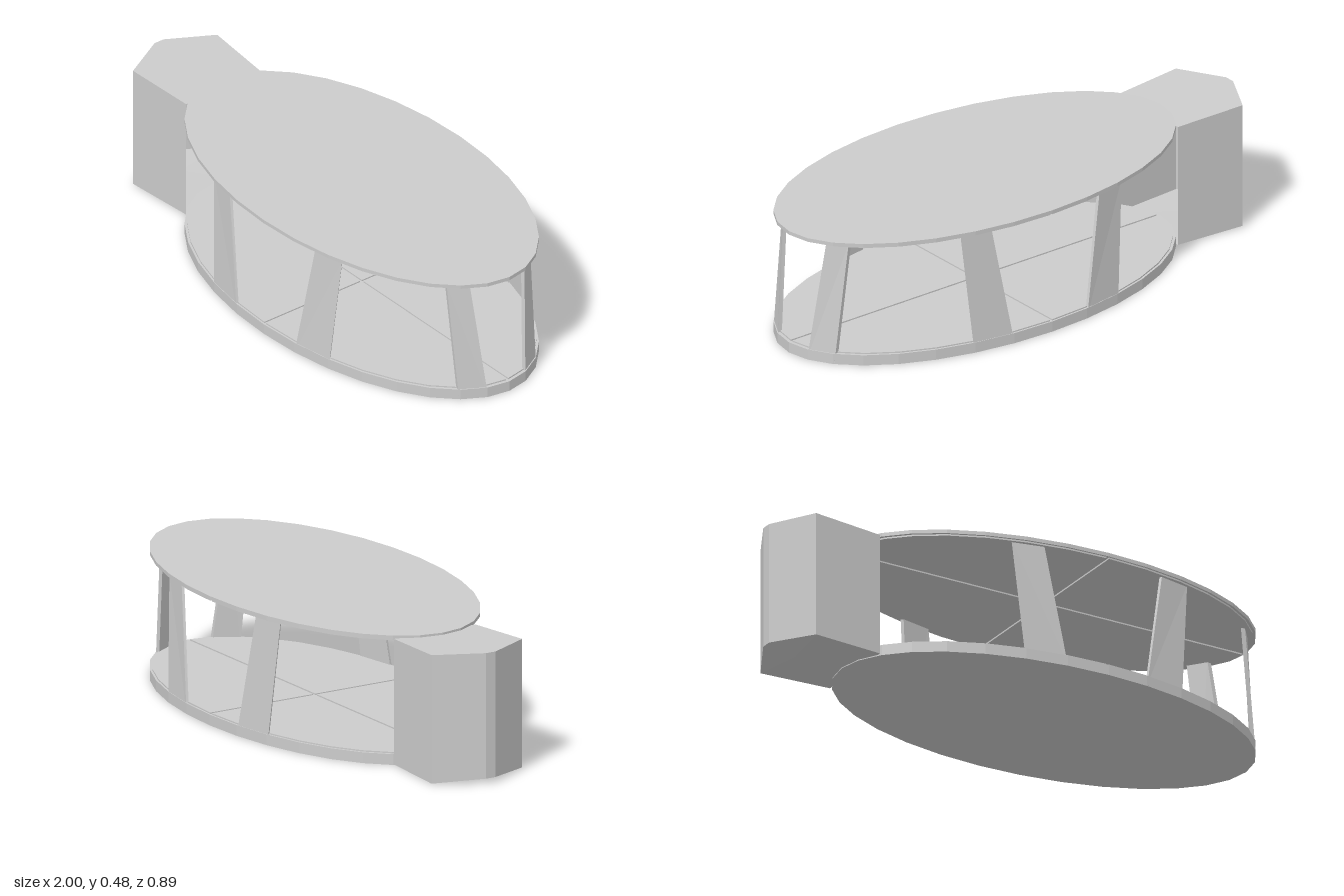
import * as THREE from 'three';

const CX = 0.157, RX = 0.843, RZ = 0.447; // shared ellipse of both decks
const material = new THREE.MeshStandardMaterial({ color: 0xcccccc, flatShading: true, side: THREE.DoubleSide });

// Point on the deck ellipse, scaled by s
const onEllipse = (t, s, y) => [CX + RX * s * Math.cos(t), y, RZ * s * Math.sin(t)];

// Flat-sided mesh from polygons given as lists of points
function polyMesh(name, polygons) {
  const pos = [];
  for (const p of polygons)
    for (let i = 1; i < p.length - 1; i++) pos.push(...p[0], ...p[i], ...p[i + 1]);
  const geo = new THREE.BufferGeometry();
  geo.setAttribute('position', new THREE.Float32BufferAttribute(pos, 3));
  geo.computeVertexNormals();
  const mesh = new THREE.Mesh(geo, material);
  mesh.name = name;
  return mesh;
}

// Elliptical deck: a solid slab plus four quarter panels separated by thin grooves
function deck(name, y0, y1, panelY, panelH) {
  const group = new THREE.Group();
  group.name = name;
  const slab = new THREE.Mesh(new THREE.CylinderGeometry(1, 1, y1 - y0, 32), material);
  slab.name = name + 'Slab';
  slab.scale.set(RX, 1, RZ);
  slab.position.set(CX, (y0 + y1) / 2, 0);
  group.add(slab);
  const gap = 0.005;
  for (const sx of [1, -1]) for (const sz of [1, -1]) {
    const pts = [new THREE.Vector2(sx * gap, sz * gap)];
    for (let i = 0; i <= 8; i++) {
      const t = (i / 8) * Math.PI / 2;
      pts.push(new THREE.Vector2(
        sx * Math.max(gap, RX * 0.985 * Math.cos(t)),
        sz * Math.max(gap, RZ * 0.985 * Math.sin(t))));
    }
    const geo = new THREE.ExtrudeGeometry(new THREE.Shape(pts), { depth: panelH, bevelEnabled: false });
    geo.rotateX(Math.PI / 2);
    const panel = new THREE.Mesh(geo, material);
    panel.name = name + 'Panel';
    panel.position.set(CX, panelY + panelH, 0);
    group.add(panel);
  }
  return group;
}

// Thin tapered support leaning inward, between angles b0..b1 at the foot and t0..t1 at the head
function support(name, b0, b1, t0, t1) {
  const th = 0.02;
  const foot = [onEllipse(b0, 1, 0.005), onEllipse(b1, 1, 0.005), onEllipse(b1, 1 - th, 0.005), onEllipse(b0, 1 - th, 0.005)];
  const head = [onEllipse(t0, 0.957, 0.468), onEllipse(t1, 0.957, 0.468), onEllipse(t1, 0.957 - th, 0.468), onEllipse(t0, 0.957 - th, 0.468)];
  const sides = foot.map((p, i) => [p, head[i], head[(i + 1) % 4], foot[(i + 1) % 4]]);
  return polyMesh(name, [foot, [...head].reverse(), ...sides]);
}

// Pointed end housing, open toward the decks
function endHousing() {
  // outline stations: x, z, bottom y, top y
  const half = [[-0.63, 0.172, 0.004, 0.47], [-0.908, 0.192, 0.004, 0.481], [-1, 0.02, 0.018, 0.484]];
  const outline = [...half, ...[...half].reverse().map(([x, z, a, b]) => [x, -z, a, b])];
  const bottom = outline.map(([x, z, y]) => [x, y, z]);
  const top = outline.map(([x, z, , y]) => [x, y, z]);
  const keel = [-0.88, 0, 0];
  const faces = [];
  for (let i = 0; i < 6; i++) {
    const j = (i + 1) % 6;
    if (i < 5) faces.push([bottom[i], top[i], top[j], bottom[j]]);
    faces.push([keel, bottom[i], bottom[j]]);
  }
  faces.push([...top].reverse());
  return polyMesh('endHousing', faces);
}

export function createModel() {
  const model = new THREE.Group();
  model.name = 'twoDeckStand';
  model.add(deck('lowerDeck', 0, 0.04, 0.04, 0.005));
  model.add(deck('upperDeck', 0.466, 0.48, 0.46, 0.006));

  // Supports: two on each long side, one pair at the rounded end
  for (const s of [1, -1]) {
    const side = [1.373, 1.173, 1.261, 1.1];
    model.add(support('sideSupport', ...side.map(t => s * t)));
    model.add(support('sideSupport', ...side.map(t => s * (Math.PI - t))));
    model.add(support('endSupport', ...[0.192, 0.404, 0.298, 0.462].map(t => s * t)));
  }

  model.add(endHousing());
  return model;
}
